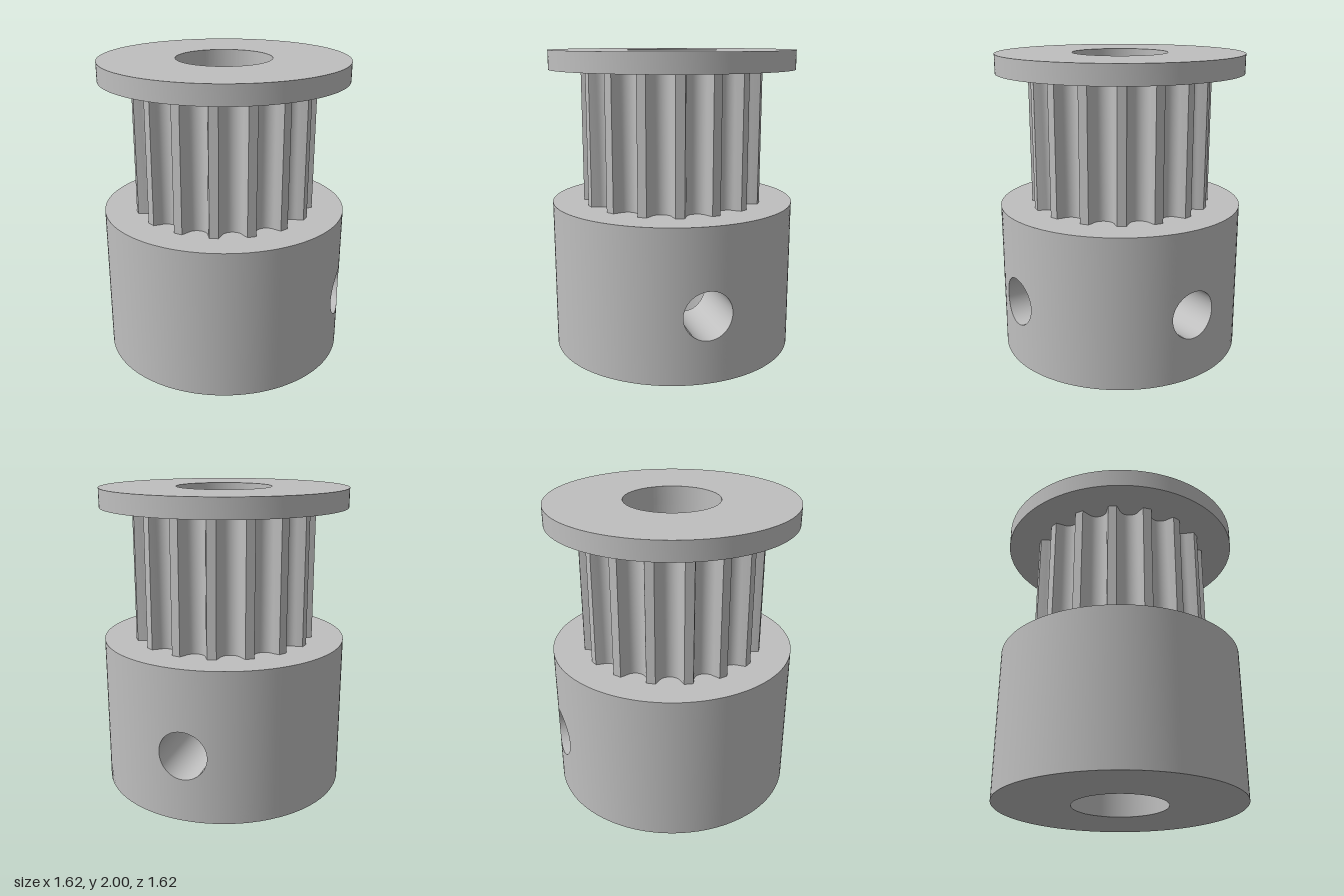
import * as THREE from 'three';
import { toCreasedNormals } from 'three/addons/utils/BufferGeometryUtils.js';

const OUTER = 0.8125, BORE = 0.3125, HUB_H = 1, FLANGE_Y = 1.875, TOP = 2;
const TEETH = 16, TIP = 0.603, ROOT = 0.505;
const SCREW_R = 0.158, SCREW_Y = 0.44;

// Point on a cylinder; angle 0 is +x, a quarter turn is -z.
const onCylinder = (r, a, y) => [r * Math.cos(a), y, -r * Math.sin(a)];

// Surface grid from fn(u, v); wrap closes it along v.
function grid(nu, nv, wrap, fn, flip = false) {
  const pos = [], index = [], rows = wrap ? nv : nv + 1;
  for (let i = 0; i < rows; i++)
    for (let j = 0; j <= nu; j++) pos.push(...fn(j / nu, i / nv));
  const id = (j, i) => (i % rows) * (nu + 1) + j;
  for (let i = 0; i < nv; i++)
    for (let j = 0; j < nu; j++) {
      const a = id(j, i), b = id(j + 1, i), c = id(j + 1, i + 1), d = id(j, i + 1);
      if (flip) index.push(a, c, b, a, d, c);
      else index.push(a, b, c, a, c, d);
    }
  const g = new THREE.BufferGeometry();
  g.setAttribute('position', new THREE.Float32BufferAttribute(pos, 3));
  g.setIndex(index);
  g.computeVertexNormals();
  return g;
}

// Exact radial normals for cylinder walls.
function radialNormals(g, sign) {
  const p = g.attributes.position, n = g.attributes.normal;
  for (let i = 0; i < p.count; i++) {
    const l = Math.hypot(p.getX(i), p.getZ(i));
    n.setXYZ(i, sign * p.getX(i) / l, 0, sign * p.getZ(i) / l);
  }
  return g;
}

// Quarter of the hub wall with a round screw hole in the middle.
function holedWall(r, centre, inward) {
  const g = grid(10, 96, true, (u, v) => {
    const t = v * Math.PI * 2, c = Math.cos(t), s = Math.sin(t);
    const m = Math.max(Math.abs(c), Math.abs(s));
    const a0 = Math.asin(SCREW_R * c / r), y0 = SCREW_Y + SCREW_R * s;
    const a1 = c / m * Math.PI / 4;
    const y1 = SCREW_Y + s / m * (s > 0 ? HUB_H - SCREW_Y : SCREW_Y);
    return onCylinder(r, centre + a0 + (a1 - a0) * u, y0 + (y1 - y0) * u);
  }, inward);
  return radialNormals(g, inward ? -1 : 1);
}

// Half of the hub wall without holes.
function plainWall(r, inward) {
  const g = grid(64, 1, false, (u, v) =>
    onCylinder(r, Math.PI * (0.75 + u), v * HUB_H), inward);
  return radialNormals(g, inward ? -1 : 1);
}

// Lining of a screw hole, from the bore to the outside.
function screwTunnel(centre) {
  return grid(1, 96, true, (u, v) => {
    const t = v * Math.PI * 2, r = u ? OUTER : BORE;
    const a = Math.asin(SCREW_R * Math.cos(t) / r);
    return onCylinder(r, centre + a, SCREW_Y + SCREW_R * Math.sin(t));
  });
}

// Upright plate of the given outline with the bore through it.
function boredPlate(shape, y0, y1) {
  shape.holes.push(new THREE.Path().absarc(0, 0, BORE, 0, Math.PI * 2, true));
  const g = new THREE.ExtrudeGeometry(shape, { depth: y1 - y0, bevelEnabled: false, curveSegments: 128 });
  g.rotateX(-Math.PI / 2).translate(0, y0, 0);
  return toCreasedNormals(g, 0.45);
}

// Toothed outline: straight-sided grooves with round bottoms.
function toothShape() {
  const groove = [[TIP, -0.089]];
  const rad = 0.07;
  for (let i = 0; i <= 12; i++) {
    const t = -1.3 + 2.6 * i / 12;
    groove.push([ROOT + rad * (1 - Math.cos(t)), rad * Math.sin(t)]);
  }
  groove.push([TIP, 0.089]);
  groove[0][0] = groove[14][0] = Math.sqrt(TIP * TIP - 0.089 * 0.089);
  const points = [];
  for (let k = 0; k < TEETH; k++) {
    const a = k / TEETH * Math.PI * 2;
    for (const [x, y] of groove)
      points.push(new THREE.Vector2(x, y).rotateAround(new THREE.Vector2(), a));
  }
  return new THREE.Shape(points);
}

export function createModel() {
  const model = new THREE.Group();
  model.name = 'timingPulley';
  const metal = new THREE.MeshStandardMaterial({ color: 0xbfbfbf });
  metal.name = 'grey metal';
  const add = (parent, name, geometry) => {
    const mesh = new THREE.Mesh(geometry, metal);
    mesh.name = name;
    parent.add(mesh);
    return mesh;
  };

  // Hub with bore and two screw holes
  const hub = new THREE.Group();
  hub.name = 'hub';
  model.add(hub);
  add(hub, 'hubOuterWall', plainWall(OUTER, false));
  add(hub, 'hubBoreWall', plainWall(BORE, true));
  [['left', 0], ['back', Math.PI / 2]].forEach(([side, angle]) => {
    add(hub, side + 'OuterWall', holedWall(OUTER, angle, false));
    add(hub, side + 'BoreWall', holedWall(BORE, angle, true));
    add(hub, side + 'ScrewHole', screwTunnel(angle));
  });
  const ring = () => new THREE.RingGeometry(BORE, OUTER, 128);
  add(hub, 'hubTop', ring().rotateX(-Math.PI / 2).translate(0, HUB_H, 0));
  add(hub, 'hubBottom', ring().rotateX(Math.PI / 2));

  // Toothed belt section
  add(model, 'teeth', boredPlate(toothShape(), HUB_H, FLANGE_Y));

  // Top flange
  const disc = new THREE.Shape().absarc(0, 0, OUTER, 0, Math.PI * 2, false);
  add(model, 'topFlange', boredPlate(disc, FLANGE_Y, TOP));
  return model;
}
